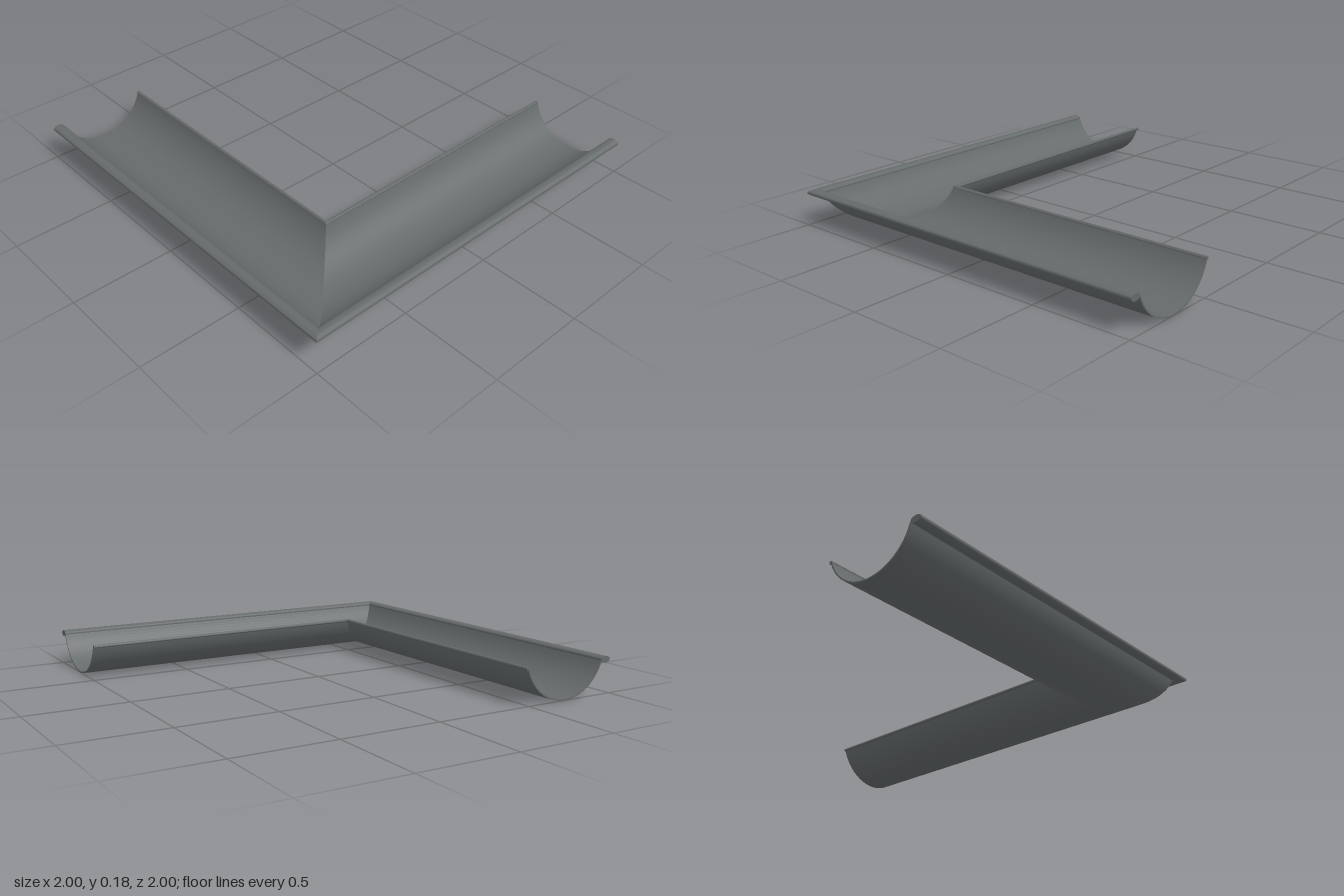
import * as THREE from 'three';
import { toCreasedNormals } from 'three/addons/utils/BufferGeometryUtils.js';

const END = -1; // open end of each arm

// Thin circular-arc trough wall, in (distance across, height)
function troughProfile() {
  const cx = 0.717, cy = 0.24, from = Math.PI + 0.26, to = 2 * Math.PI - 0.34;
  return new THREE.Shape()
    .absarc(cx, cy, 0.24, from, to, false)
    .absarc(cx, cy, 0.233, to, from, true);
}

function beadProfile(cx, cy, rx, ry) {
  return new THREE.Shape().absellipse(cx, cy, rx, ry, 0, Math.PI * 2, false);
}

// Extrude a profile and shear it so that one end is open and the other is mitred
function armGeometry(shape, alongX, segments) {
  const geo = new THREE.ExtrudeGeometry(shape, {
    depth: 1, steps: 1, bevelEnabled: false, curveSegments: segments,
  });
  const p = geo.attributes.position;
  for (let i = 0; i < p.count; i++) {
    const u = p.getX(i), y = p.getY(i), t = p.getZ(i);
    if (alongX) p.setXYZ(i, THREE.MathUtils.lerp(u, END, t), y, u);
    else p.setXYZ(i, u, y, THREE.MathUtils.lerp(END, u, t));
  }
  return toCreasedNormals(geo, 0.7);
}

export function createModel() {
  const group = new THREE.Group();
  group.name = 'gutterCorner';
  const metal = new THREE.MeshStandardMaterial({ color: 0x656a6a });
  metal.name = 'grey metal';

  const parts = [
    ['trough', troughProfile(), 18],
    ['outerBead', beadProfile(0.967, 0.165, 0.028, 0.016), 10],
    ['innerLip', beadProfile(0.487, 0.173, 0.009, 0.008), 6],
  ];

  // Two arms meeting at a mitred right-angle corner
  for (const alongX of [true, false]) {
    const arm = new THREE.Group();
    arm.name = alongX ? 'frontArm' : 'sideArm';
    for (const [name, shape, segments] of parts) {
      const mesh = new THREE.Mesh(armGeometry(shape, alongX, segments), metal);
      mesh.name = name;
      arm.add(mesh);
    }
    group.add(arm);
  }
  return group;
}
